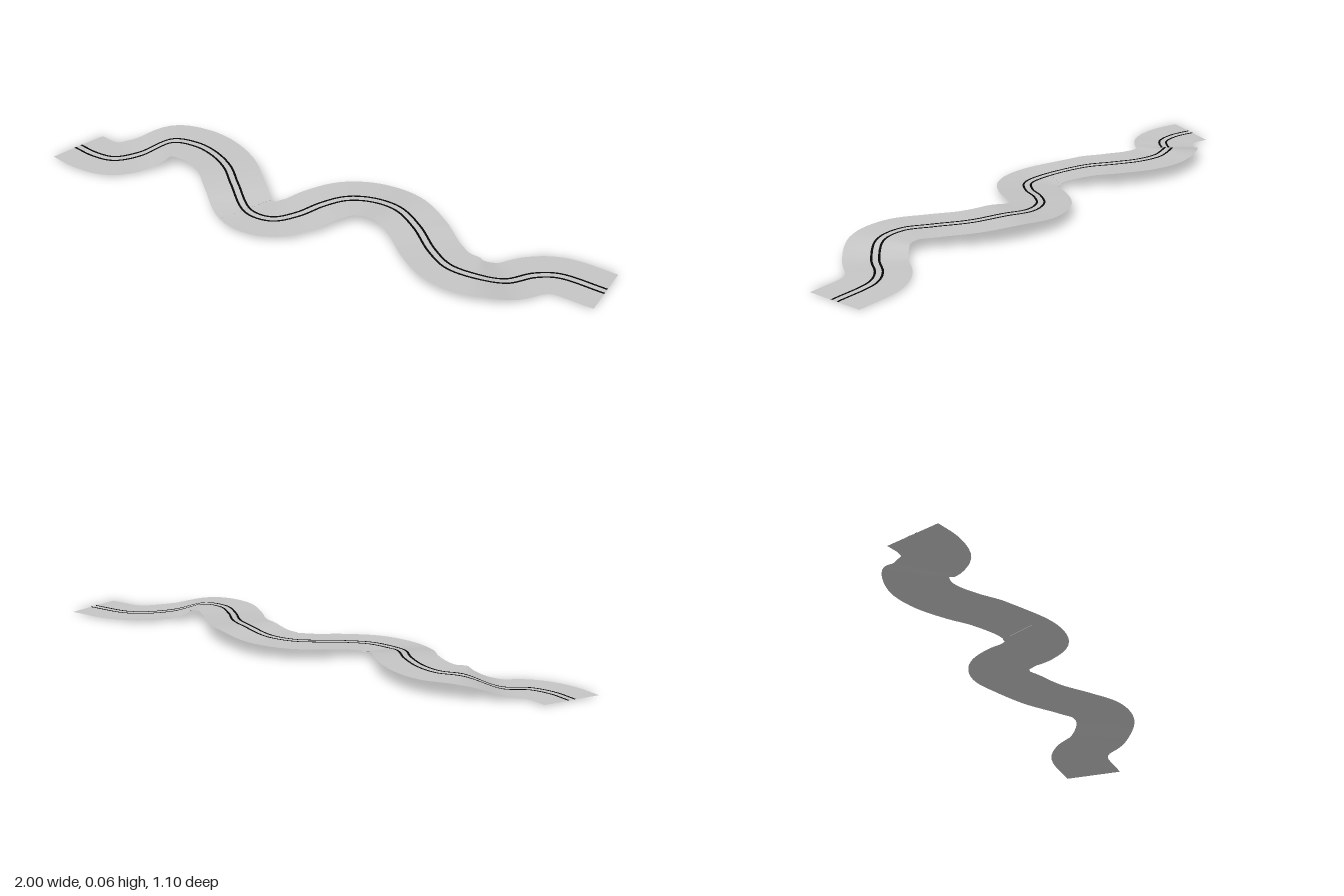
import * as THREE from 'three';

// Road centreline: x, height, z
const PATH = [
  [-1, 0.007, 0.432], [-0.91, 0.009, 0.418], [-0.835, 0.01, 0.38], [-0.79, 0.016, 0.29],
  [-0.73, 0.06, 0.18], [-0.65, 0.06, 0.125], [-0.56, 0.06, 0.112], [-0.45, 0.06, 0.13],
  [-0.35, 0.052, 0.173], [-0.21, 0.025, 0.22], [-0.115, 0.024, 0.185], [-0.07, 0.031, 0.1],
  [-0.05, 0.041, 0], [-0.015, 0.048, -0.085], [0.06, 0.055, -0.145], [0.18, 0.067, -0.168],
  [0.3, 0.059, -0.15], [0.43, 0.051, -0.102], [0.54, 0.05, -0.082], [0.64, 0.044, -0.122],
  [0.7, 0.016, -0.21], [0.735, 0.011, -0.315], [0.79, 0.009, -0.38], [0.955, 0.004, -0.445],
];
const STEPS = 160;
const curve = new THREE.CatmullRomCurve3(PATH.map((p) => new THREE.Vector3(...p)));

// Flat strip following the road, between two sideways offsets from the centreline
function strip(from, to, lift) {
  const positions = [];
  const indices = [];
  for (let i = 0; i <= STEPS; i++) {
    const p = curve.getPointAt(i / STEPS);
    const t = curve.getTangentAt(i / STEPS);
    if (i === 0) t.set(1, 0, 0); // square-cut start
    const side = new THREE.Vector3(-t.z, 0, t.x).normalize();
    for (const offset of [from, to]) {
      positions.push(p.x + side.x * offset, p.y + lift, p.z + side.z * offset);
    }
    if (i < STEPS) {
      const a = i * 2;
      indices.push(a, a + 1, a + 2, a + 1, a + 3, a + 2);
    }
  }
  const geometry = new THREE.BufferGeometry();
  geometry.setAttribute('position', new THREE.Float32BufferAttribute(positions, 3));
  geometry.setIndex(indices);
  geometry.computeVertexNormals();
  return geometry;
}

export function createModel() {
  const group = new THREE.Group();
  group.name = 'windingRoad';

  const asphalt = new THREE.MeshStandardMaterial({ color: 0xc4c4c4, side: THREE.DoubleSide });
  asphalt.name = 'paleAsphalt';
  const paint = new THREE.MeshStandardMaterial({ color: 0x050505, side: THREE.DoubleSide });
  paint.name = 'blackPaint';

  // Road surface
  const road = new THREE.Mesh(strip(-0.113, 0.113, 0), asphalt);
  road.name = 'roadSurface';
  group.add(road);

  // Double centre line
  for (const [name, s] of [['leftCentreLine', -1], ['rightCentreLine', 1]]) {
    const line = new THREE.Mesh(strip(s * 0.0135 - 0.004, s * 0.0135 + 0.004, 0.001), paint);
    line.name = name;
    group.add(line);
  }

  return group;
}
